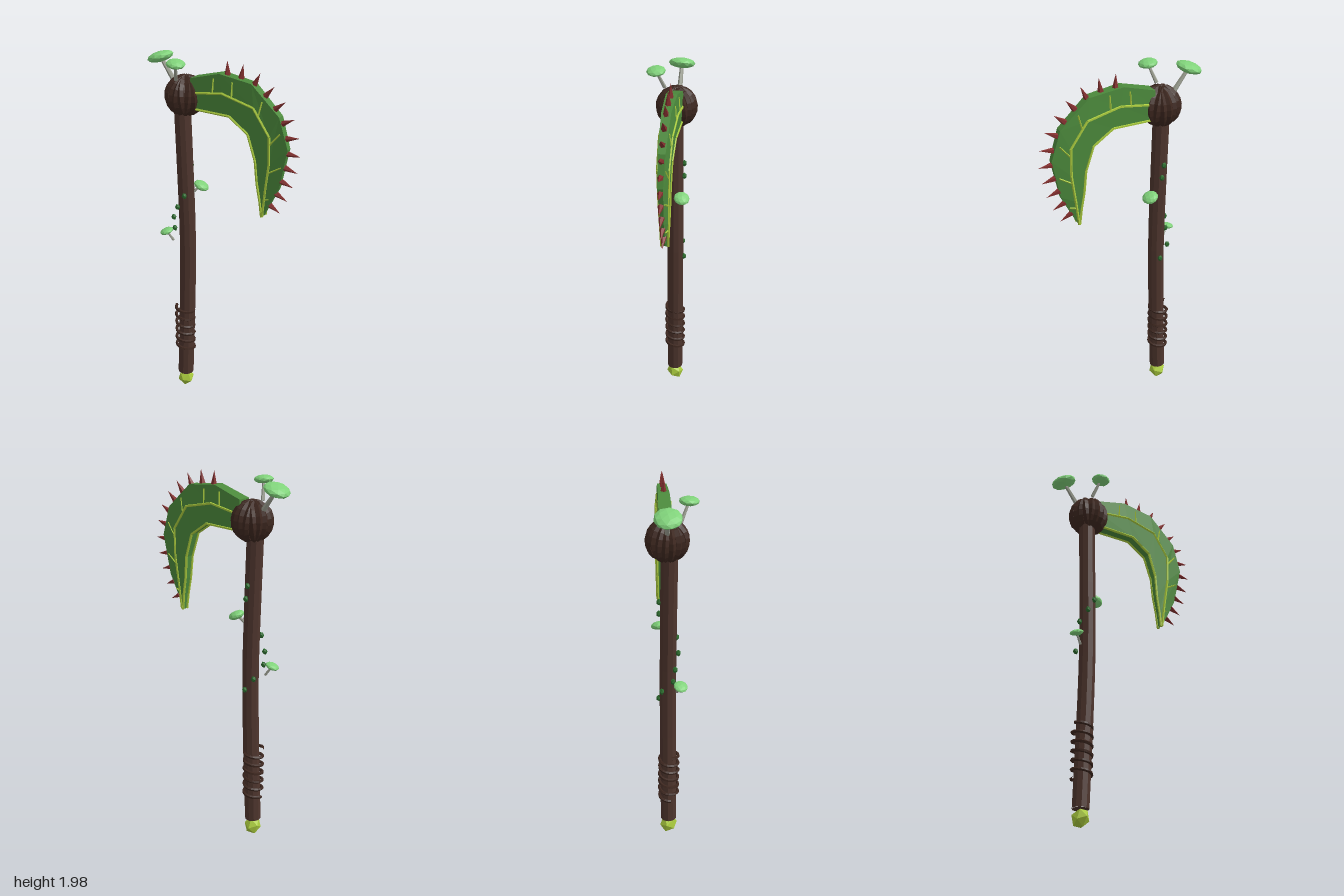
import * as THREE from 'three';

const V = (x, y, z) => new THREE.Vector3(x, y, z);
const mat = (name, color) => {
  const m = new THREE.MeshStandardMaterial({ color, flatShading: true });
  m.name = name;
  return m;
};

export function createModel() {
  const bark = mat('bark', 0x4e352d);
  const darkVine = mat('darkVine', 0x3d271f);
  const leafGreen = mat('leafGreen', 0x4c8a3c);
  const lime = mat('lime', 0xaacb3e);
  const thornRed = mat('thornRed', 0x84302f);
  const capGreen = mat('capGreen', 0x80d27a);
  const stemGrey = mat('stemGrey', 0x9c9f92);
  const budGreen = mat('budGreen', 0x2a6a2c);

  const root = new THREE.Group();
  const add = (parent, name, geometry, material) => {
    const mesh = new THREE.Mesh(geometry, material);
    mesh.name = name;
    parent.add(mesh);
    return mesh;
  };
  // Straight tapered rod between two points
  const rod = (parent, name, a, b, r0, r1, material, sides = 5) => {
    const d = b.clone().sub(a);
    const mesh = add(parent, name, new THREE.CylinderGeometry(r1, r0, d.length(), sides), material);
    mesh.position.copy(a).addScaledVector(d, 0.5);
    mesh.quaternion.setFromUnitVectors(V(0, 1, 0), d.normalize());
    return mesh;
  };

  // Gently bowed handle with a closed lower end
  const Z = -0.018;
  const path = new THREE.CatmullRomCurve3([
    V(-0.255, 0.1, Z), V(-0.243, 0.4, Z), V(-0.231, 0.75, Z),
    V(-0.228, 1.0, Z), V(-0.235, 1.35, Z), V(-0.246, 1.75, Z),
  ]);
  add(root, 'handle', new THREE.TubeGeometry(path, 12, 0.044, 10), bark);
  const end = add(root, 'handleEnd', new THREE.CircleGeometry(0.044, 10), bark);
  end.position.set(-0.255, 0.1, Z);
  end.rotation.x = Math.PI / 2;

  // Gem pommel
  const pommel = add(root, 'pommel', new THREE.IcosahedronGeometry(0.05, 0), lime);
  pommel.rotation.x = Math.atan((Math.sqrt(5) - 1) / 2);
  pommel.position.set(-0.255, 0.055, Z);
  pommel.scale.set(0.93, 1.05, 0.93);

  // Coiled vine grip
  const coil = [];
  for (let i = 0; i <= 72; i++) {
    const a = (i / 12) * Math.PI * 2 + Math.PI;
    coil.push(V(-0.253 + 0.05 * Math.cos(a), 0.245 + 0.29 * i / 72, Z + 0.05 * Math.sin(a)));
  }
  add(root, 'gripVine', new THREE.TubeGeometry(new THREE.CatmullRomCurve3(coil), 110, 0.009, 5), darkVine);

  // Knot of upright vine loops
  const knot = new THREE.Group();
  knot.name = 'knot';
  knot.position.set(-0.23, 1.776, -0.025);
  root.add(knot);
  add(knot, 'knotCore', new THREE.IcosahedronGeometry(0.093, 2), darkVine);
  for (let i = 0; i < 9; i++) {
    const loop = add(knot, 'knotLoop', new THREE.TorusGeometry(0.091, 0.018, 5, 20), darkVine);
    loop.rotation.set(0, i * Math.PI / 9, 0.1);
    loop.rotateX(0.12 * Math.sin(i * 2.3));
  }

  // Curved blade, lofted from ridged six-point sections
  const blade = new THREE.Group();
  blade.name = 'blade';
  blade.position.z = 0.018;
  blade.rotation.y = -0.206;
  blade.scale.x = 1.022;
  root.add(blade);
  const outer = [[-0.18, 1.88], [-0.013, 1.929], [0.167, 1.907], [0.32, 1.765], [0.368, 1.606], [0.325, 1.394], [0.24, 1.222]];
  const mid = [[-0.18, 1.805], [0.008, 1.833], [0.183, 1.791], [0.272, 1.659], [0.272, 1.511], [0.251, 1.357], [0.235, 1.218]];
  const inner = [[-0.18, 1.722], [0.045, 1.722], [0.151, 1.648], [0.193, 1.516], [0.204, 1.394], [0.22, 1.3], [0.23, 1.214]];
  const n = outer.length;
  const half = (h0, h1) => i => h0 + (h1 - h0) * i / (n - 1);
  const hOuter = half(0.034, 0.004), hMid = half(0.037, 0.018), hInner = half(0.031, 0.015);
  const at = (line, h, i, s) => V(line[i][0], line[i][1], s * h(i));
  const pts = [], idx = [];
  for (let i = 0; i < n; i++) {
    pts.push(at(outer, hOuter, i, 1), at(mid, hMid, i, 1), at(inner, hInner, i, 1),
      at(inner, hInner, i, -1), at(mid, hMid, i, -1), at(outer, hOuter, i, -1));
    for (let k = 0; k < 6 && i < n - 1; k++) {
      const a = i * 6 + k, b = i * 6 + (k + 1) % 6;
      idx.push(a, b, b + 6, a, b + 6, a + 6);
    }
  }
  const e = (n - 1) * 6;
  for (let k = 1; k < 5; k++) idx.push(0, k + 1, k, e, e + k, e + k + 1);
  const body = new THREE.BufferGeometry().setFromPoints(pts);
  body.setIndex(idx);
  const flat = body.toNonIndexed();
  flat.computeVertexNormals();
  add(blade, 'bladeBody', flat, leafGreen);

  // Midribs, inner edges and veins on both faces
  for (const s of [1, -1]) {
    for (let i = 0; i < n - 1; i++) {
      rod(blade, 'midrib', at(mid, hMid, i, s), at(mid, hMid, i + 1, s), 0.007, 0.007, lime);
      rod(blade, 'innerEdge', at(inner, hInner, i, s), at(inner, hInner, i + 1, s), 0.007, 0.007, lime);
    }
    for (let i = 0; i < n - 1; i++) {
      const t = i === 0 ? 0.7 : 0.3;
      const a = at(mid, hMid, i, s).lerp(at(mid, hMid, i + 1, s), t);
      const b = at(outer, hOuter, i, s).lerp(at(outer, hOuter, i + 1, s), t + 0.12);
      rod(blade, 'vein', a, a.clone().lerp(b, 0.8), 0.005, 0.004, lime, 4);
    }
  }

  // Thorns spaced along the outer edge
  const edge = new THREE.CatmullRomCurve3(outer.map(p => V(p[0], p[1], 0)));
  for (let i = 0; i < 12; i++) {
    const u = 0.18 + 0.76 * i / 11;
    const p = edge.getPointAt(u), t = edge.getTangentAt(u);
    const out = V(-t.y, t.x, 0);
    rod(blade, 'thorn', p.clone().addScaledVector(out, -0.008), p.clone().addScaledVector(out, 0.064), 0.016, 0, thornRed, 5);
  }

  // Mushrooms: cap centre, cap radius, cap half height, up direction, stem foot
  const mushrooms = [
    [V(-0.382, 1.952, -0.063), 0.069, 0.028, V(-0.35, 1, -0.1), V(-0.3, 1.84, -0.045)],
    [V(-0.234, 1.966, 0.08), 0.05, 0.022, V(0.1, 1, 0.08), V(-0.255, 1.87, 0.035)],
    [V(-0.156, 1.278, -0.046), 0.043, 0.022, V(0.45, 1, -0.1), V(-0.2, 1.24, -0.03)],
    [V(-0.336, 1.008, 0.02), 0.037, 0.016, V(-0.35, 1, 0.1), V(-0.3, 0.955, 0.01)],
  ];
  for (const [c, r, h, up, foot] of mushrooms) {
    const cap = add(root, 'mushroomCap', new THREE.IcosahedronGeometry(1, 1), capGreen);
    cap.scale.set(r, h, r);
    cap.position.copy(c);
    cap.quaternion.setFromUnitVectors(V(0, 1, 0), up.normalize());
    rod(root, 'mushroomStem', foot, c, r * 0.2, r * 0.13, stemGrey, 6);
  }

  // Small buds winding round the handle
  const buds = [[-0.23, 1.45, -0.066], [-0.22, 1.38, -0.064], [-0.225, 1.235, 0.027], [-0.265, 1.165, 0.026],
    [-0.3, 1.09, 0], [-0.3, 1.02, -0.01], [-0.27, 0.95, -0.062], [-0.22, 0.88, -0.064]];
  for (const [x, y, z] of buds) {
    const bud = add(root, 'bud', new THREE.IcosahedronGeometry(0.014, 0), budGreen);
    bud.position.set(x, y, z);
    bud.scale.y = 1.3;
  }
  return root;
}
